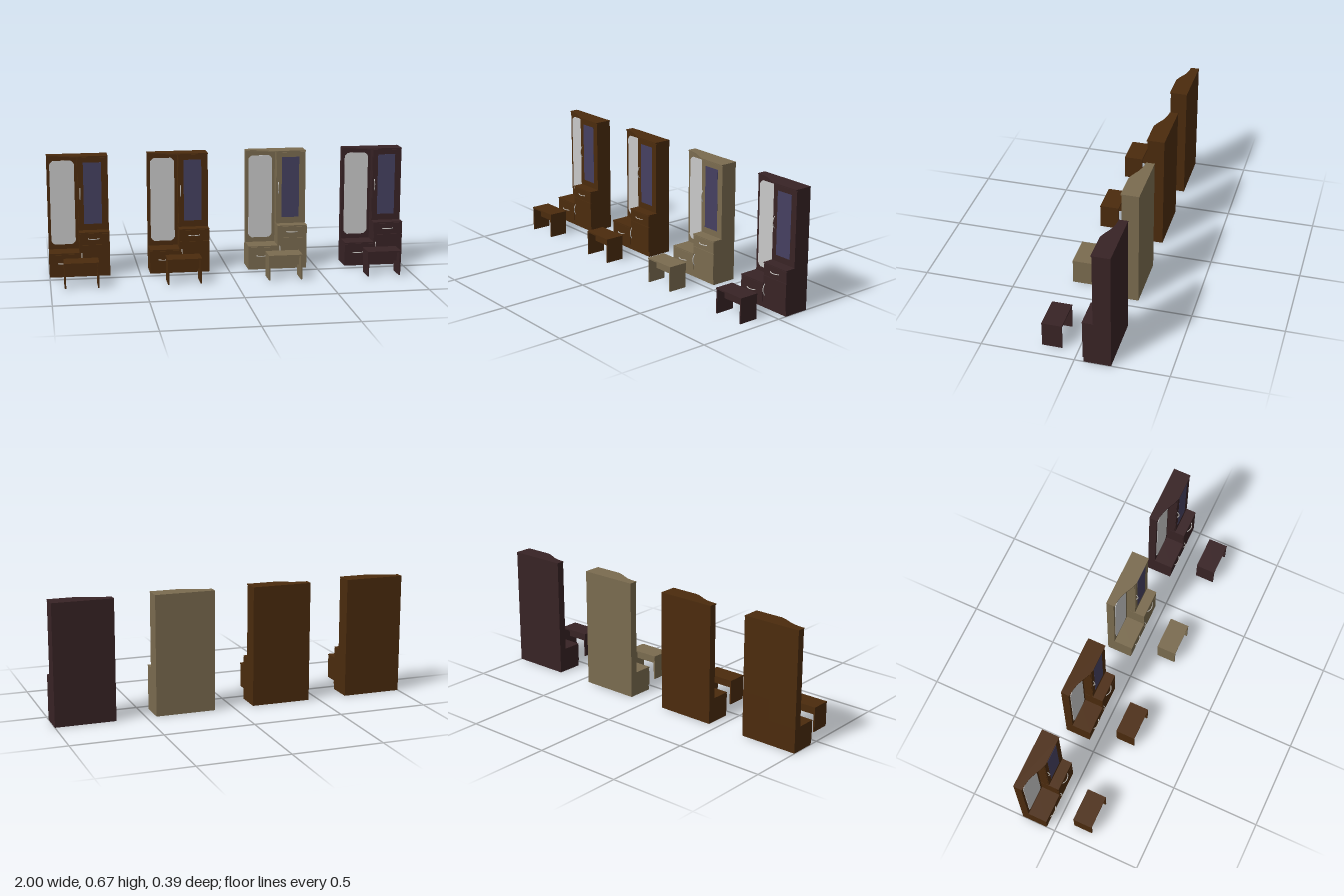
import * as THREE from 'three';

const mat = (name, color, side = THREE.FrontSide) => {
  const m = new THREE.MeshStandardMaterial({ color, side });
  m.name = name;
  return m;
};

// Box given by its min and max on each axis
function box(name, m, x0, x1, y0, y1, z0, z1) {
  const mesh = new THREE.Mesh(new THREE.BoxGeometry(x1 - x0, y1 - y0, z1 - z0), m);
  mesh.position.set((x0 + x1) / 2, (y0 + y1) / 2, (z0 + z1) / 2);
  mesh.name = name;
  return mesh;
}

// Bowed pull handle that stands out towards +z
function handle(name, m, x, y, z, upright) {
  const pts = [];
  for (let i = 0; i <= 6; i++) {
    const t = (i / 6) * 2 - 1;
    pts.push(new THREE.Vector3(t * 0.032, 0, 0.012 * (1 - t * t)));
  }
  const mesh = new THREE.Mesh(new THREE.TubeGeometry(new THREE.CatmullRomCurve3(pts), 16, 0.0024, 8), m);
  mesh.position.set(x, y, z);
  if (upright) mesh.rotation.z = Math.PI / 2;
  mesh.name = name;
  return mesh;
}

// Cornice whose front sweeps back over the mirror
function cornice(m) {
  const s = new THREE.Shape();
  s.moveTo(-0.167, -0.195);
  s.lineTo(0.167, -0.195);
  s.lineTo(0.167, -0.095);
  s.lineTo(0.01, -0.095);
  s.bezierCurveTo(-0.05, -0.105, -0.07, -0.146, -0.167, -0.146);
  const g = new THREE.ExtrudeGeometry(s, { depth: 0.006, bevelEnabled: false, curveSegments: 12 });
  g.rotateX(Math.PI / 2);
  const mesh = new THREE.Mesh(g, m);
  mesh.position.y = 0.667;
  mesh.name = 'cornice';
  return mesh;
}

// Tall mirror plate with scooped corners
function mirrorPlate(m) {
  const x0 = -0.151, x1 = -0.016, y0 = 0.163, y1 = 0.636, c = 0.02;
  const s = new THREE.Shape();
  s.moveTo(x0 + c, y0);
  s.lineTo(x1 - c, y0);
  s.quadraticCurveTo(x1 - c * 0.35, y0 + c * 0.35, x1, y0 + c);
  s.lineTo(x1, y1 - c);
  s.quadraticCurveTo(x1 - c * 0.35, y1 - c * 0.35, x1 - c, y1);
  s.lineTo(x0 + c, y1);
  s.quadraticCurveTo(x0 + c * 0.35, y1 - c * 0.35, x0, y1 - c);
  s.lineTo(x0, y0 + c);
  s.quadraticCurveTo(x0 + c * 0.35, y0 + c * 0.35, x0 + c, y0);
  const mesh = new THREE.Mesh(new THREE.ExtrudeGeometry(s, { depth: 0.003, bevelEnabled: false, curveSegments: 4 }), m);
  mesh.position.z = -0.151;
  mesh.name = 'mirror';
  return mesh;
}

function dresser(wood, mirror, glass, metal) {
  const g = new THREE.Group();
  g.name = 'dresser';
  const W = 0.1665, B = -0.194;
  g.add(
    // carcasses
    box('mirrorBackboard', wood, -W, 0, 0.135, 0.661, B, -0.151),
    box('tallCabinet', wood, 0, W, 0.25, 0.661, B, -0.104),
    box('lowLeftCabinet', wood, -W, 0, 0, 0.13, B, -0.05),
    box('lowRightCabinet', wood, 0, W, 0, 0.245, B, -0.05),
    // tops
    cornice(wood),
    box('leftTop', wood, -W, 0, 0.13, 0.136, B, -0.043),
    box('rightTop', wood, -0.001, W, 0.245, 0.25, B, -0.043),
    // doors and drawers
    box('upperDoor', wood, 0.002, W, 0.253, 0.658, -0.104, -0.1),
    box('leftDrawer', wood, -W, -0.002, 0.03, 0.127, -0.05, -0.045),
    box('rightDrawer', wood, 0.002, W, 0.181, 0.242, -0.05, -0.045),
    box('lowerDoor', wood, 0.002, W, 0.03, 0.178, -0.05, -0.045),
    // mirror and glass
    mirrorPlate(mirror),
    box('doorGlass', glass, 0.031, 0.13, 0.286, 0.631, -0.1, -0.0992),
    // handles
    handle('upperDoorHandle', metal, 0.012, 0.457, -0.1, true),
    handle('lowerDoorHandle', metal, 0.012, 0.103, -0.045, true),
    handle('rightDrawerHandle', metal, 0.081, 0.213, -0.045, false),
    handle('leftDrawerHandle', metal, -0.088, 0.079, -0.045, false)
  );
  return g;
}

function stool(wood) {
  const g = new THREE.Group();
  g.name = 'stool';
  const w = 0.094;
  g.add(box('seat', wood, -w, w, 0.132, 0.14, 0.085, 0.195));
  for (const s of [-1, 1]) {
    const x = s * (w - 0.005);
    g.add(box(s < 0 ? 'rightLeg' : 'leftLeg', wood, x - 0.004, x + 0.004, 0, 0.132, 0.086, 0.194));
  }
  g.add(box('apron', wood, -w + 0.009, w - 0.009, 0.072, 0.132, 0.136, 0.144));
  return g;
}

export function createModel() {
  const model = new THREE.Group();
  model.name = 'dresserRow';
  const brown = mat('brownWood', 0x4b2b0d);
  const beige = mat('paleWood', 0x7a6b4f);
  const dark = mat('darkWood', 0x382325);
  const mirror = mat('mirrorSilver', 0xc8c8c8);
  const glass = mat('blueGlass', 0x454060);
  const metal = mat('handleMetal', 0xc4c2be);

  [brown, brown, beige, dark].forEach((wood, i) => {
    const set = new THREE.Group();
    set.name = 'dressingSet' + (i + 1);
    set.position.x = -0.8333 + i * 0.5556;
    set.add(dresser(wood, mirror, glass, metal), stool(wood));
    model.add(set);
  });
  return model;
}
